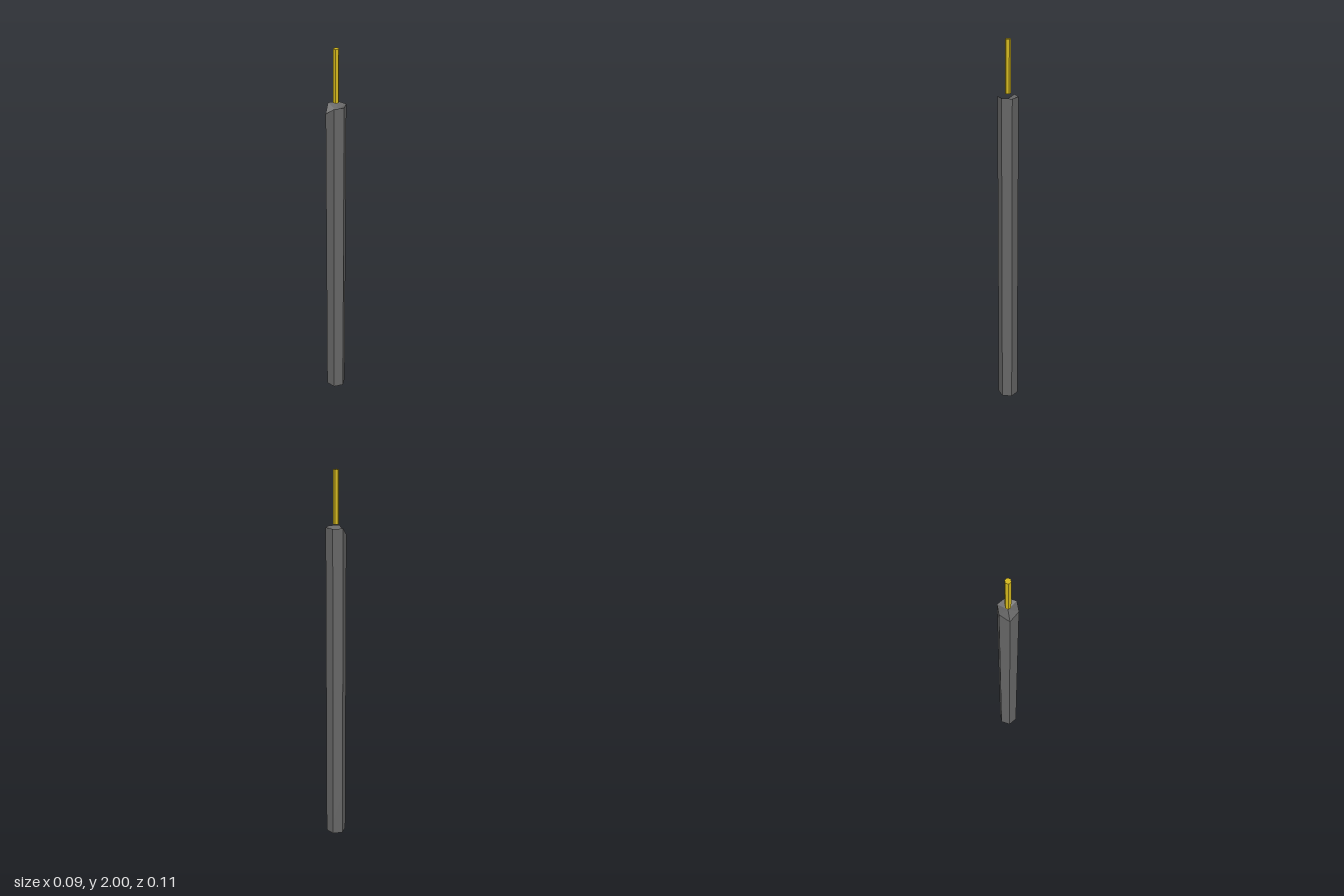
import * as THREE from 'three';

const SIDES = 6;

// Six-sided segment closed at both ends; low and high give the height at each point of its ends
function segmentGeometry(radius, low, high) {
  const corners = [];
  for (let i = 0; i < SIDES; i++) {
    const a = (i / SIDES) * Math.PI * 2;
    corners.push([radius * Math.sin(a), radius * Math.cos(a)]);
  }
  const points = [];
  for (const height of [low, high]) {
    for (const [x, z] of corners) points.push(x, height(x, z), z);
    points.push(0, height(0, 0), 0);
  }
  const index = [];
  const top = SIDES + 1;
  for (let i = 0; i < SIDES; i++) {
    const j = (i + 1) % SIDES;
    index.push(i, j, top + j, i, top + j, top + i);
    index.push(SIDES, j, i, top + SIDES, top + i, top + j);
  }
  const geometry = new THREE.BufferGeometry();
  geometry.setAttribute('position', new THREE.Float32BufferAttribute(points, 3));
  geometry.setIndex(index);
  const flat = geometry.toNonIndexed();
  flat.computeVertexNormals();
  return flat;
}

// Stack of segments that meet at slanted cracks
function crackedRod(name, radius, bottom, cracks, topHeight, slope, material) {
  const group = new THREE.Group();
  group.name = name;
  const joints = [() => bottom];
  cracks.forEach((y, i) => {
    const sx = slope * Math.sin(i * 2.4);
    const sz = slope * Math.cos(i * 1.7);
    joints.push((x, z) => y + sx * x + sz * z);
  });
  joints.push(topHeight);
  for (let i = 0; i < joints.length - 1; i++) {
    const mesh = new THREE.Mesh(segmentGeometry(radius, joints[i], joints[i + 1]), material);
    mesh.name = `${name}Segment${i + 1}`;
    group.add(mesh);
  }
  return group;
}

export function createModel() {
  const model = new THREE.Group();
  model.name = 'crackedPencil';
  const grey = new THREE.MeshStandardMaterial({ color: 0x666666, flatShading: true });
  const yellow = new THREE.MeshStandardMaterial({ color: 0xd4b81c, flatShading: true });

  // Broken top: hollow in the middle, with the back right corner chipped away
  const brokenTop = (x, z) => {
    if (x === 0 && z === 0) return 1.69;
    return x < -0.03 && z < -0.01 ? 1.675 : 1.715;
  };
  const columnCracks = [0.08, 0.25, 0.4, 0.53, 0.71, 0.86, 1.02, 1.17, 1.33, 1.49, 1.62];
  model.add(crackedRod('column', 0.053, 0, columnCracks, brokenTop, 0.4, grey));

  // Thin core floating just above the column
  const coreCracks = [1.78, 1.83, 1.89, 1.95];
  model.add(crackedRod('core', 0.0155, 1.73, coreCracks, () => 2, 0.5, yellow));

  return model;
}
